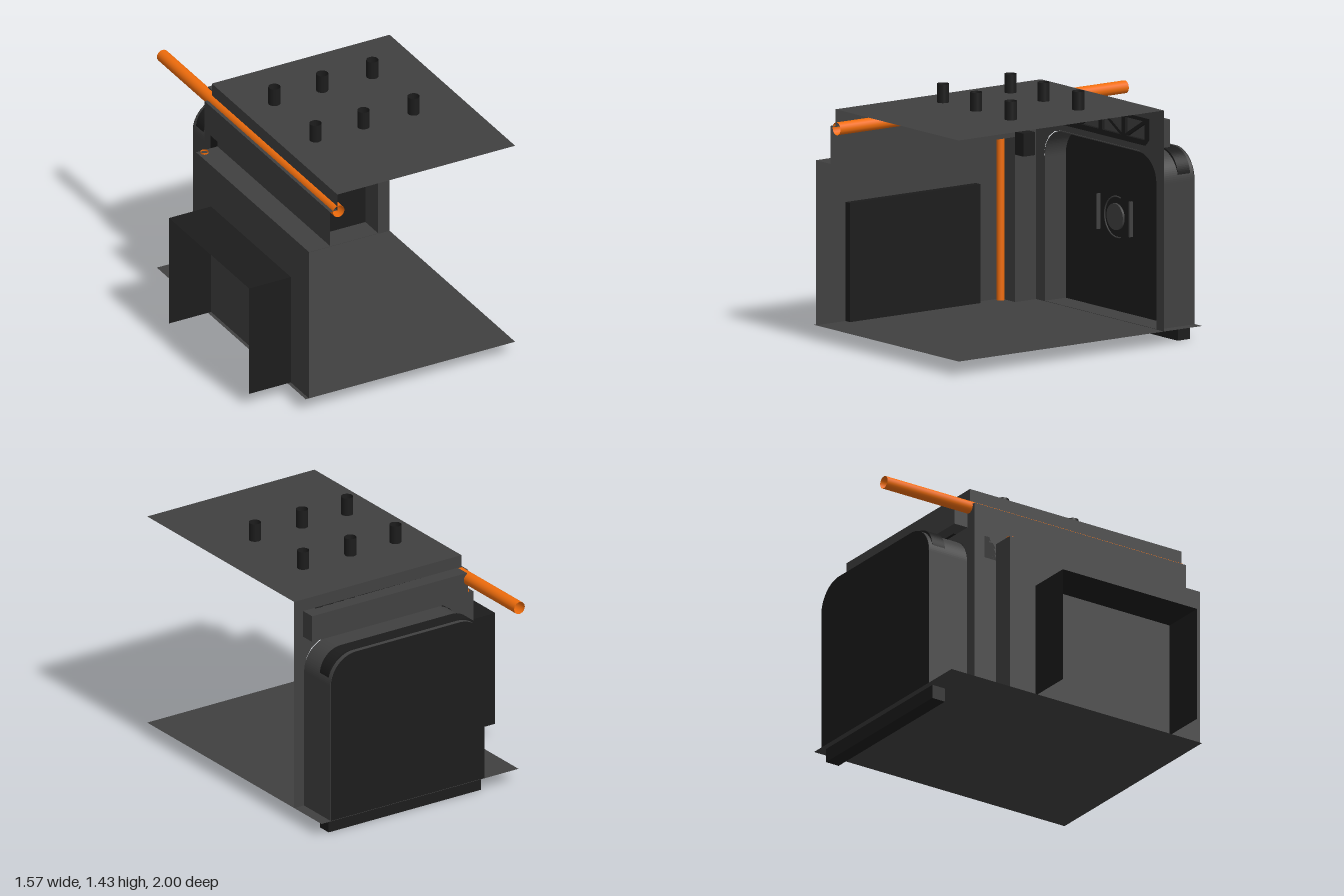
import * as THREE from 'three';

const material = (color) => new THREE.MeshStandardMaterial({ color, side: THREE.DoubleSide });

export function createModel() {
  const model = new THREE.Group();
  const grey = material(0x404040);
  const black = material(0x1c1c1c);
  const orange = material(0xef6c0c);
  const cream = material(0xb0aa88);

  function add(name, geometry, mat, x = 0, y = 0, z = 0) {
    const mesh = new THREE.Mesh(geometry, mat);
    mesh.name = name;
    mesh.position.set(x, y, z);
    model.add(mesh);
    return mesh;
  }

  // Flat axis-aligned panel between two opposite corners that share one coordinate
  function panel(name, mat, a, b) {
    const size = a.map((v, i) => Math.abs(b[i] - v));
    const mid = a.map((v, i) => (b[i] + v) / 2);
    let g;
    if (size[0] === 0) g = new THREE.PlaneGeometry(size[2], size[1]).rotateY(Math.PI / 2);
    else if (size[1] === 0) g = new THREE.PlaneGeometry(size[0], size[2]).rotateX(-Math.PI / 2);
    else g = new THREE.PlaneGeometry(size[0], size[1]);
    return add(name, g, mat, ...mid);
  }

  function box(name, mat, a, b) {
    const g = new THREE.BoxGeometry(...a.map((v, i) => Math.abs(b[i] - v)));
    return add(name, g, mat, ...a.map((v, i) => (b[i] + v) / 2));
  }

  // Doorway outline with rounded upper corners
  function trace(path, x0, x1, y0, y1, r) {
    path.moveTo(x0, y0);
    path.lineTo(x1, y0);
    path.lineTo(x1, y1 - r);
    path.absarc(x1 - r, y1 - r, r, 0, Math.PI / 2, false);
    path.lineTo(x0 + r, y1);
    path.absarc(x0 + r, y1 - r, r, Math.PI / 2, Math.PI, false);
    path.lineTo(x0, y0);
    return path;
  }
  const extrude = (shape, depth) =>
    new THREE.ExtrudeGeometry(shape, { depth, bevelEnabled: false, curveSegments: 12 });
  const polygon = (Type, pts) => new Type(pts.map(([x, y]) => new THREE.Vector2(x, y)));
  const rect = (x0, y0, x1, y1) => [[x0, y0], [x1, y0], [x1, y1], [x0, y1]];

  const FLOOR = 0.08, TOP = 1.325, BACK = -0.425, FRONT = 1;

  // Floor and ceiling
  panel('floor', grey, [-0.545, FLOOR, -0.69], [0.78, FLOOR, FRONT]);
  panel('ceiling', grey, [-0.345, TOP, BACK], [0.78, TOP, FRONT]);

  // Stepped side wall: x, y profile with the rear end of each strip
  const steps = [
    [-0.525, FLOOR, -0.28], [-0.525, 1.01, -0.28], [-0.39, 1.01, BACK],
    [-0.39, 1.225, BACK], [-0.345, 1.225, BACK], [-0.345, TOP, BACK],
  ];
  for (let i = 0; i < steps.length - 1; i++) {
    const [x0, y0, z] = steps[i], [x1, y1] = steps[i + 1];
    panel('sideWall', grey, [x0, y0, z], [x1, y1, FRONT]);
  }

  // Rear corner where the side wall steps in towards the doorway
  panel('cornerReturn', grey, [-0.525, FLOOR, -0.28], [-0.39, 1.01, -0.28]);
  panel('cornerSide', grey, [-0.39, FLOOR, -0.28], [-0.39, 1.01, BACK]);
  panel('cornerBack', grey, [-0.39, FLOOR, BACK], [-0.345, 1.225, BACK]);
  box('cornerBox', black, [-0.39, 0.91, -0.36], [-0.315, 1.04, -0.28]);

  // Back wall with doorway and vent openings
  const wall = polygon(THREE.Shape, [
    [-0.345, FLOOR], [-0.318, FLOOR], [-0.318, 0.9], [-0.305, 0.965], [-0.271, 1.018],
    [-0.22, 1.052], [-0.158, 1.065], [0.552, 1.065], [0.614, 1.052], [0.665, 1.018],
    [0.699, 0.965], [0.712, 0.9], [0.712, FLOOR], [0.78, FLOOR], [0.78, TOP], [-0.345, TOP],
  ]);
  const ventOutline = [[-0.21, 1.1], [0.61, 1.1], [0.645, 1.135], [0.645, 1.255], [-0.245, 1.255], [-0.245, 1.135]];
  wall.holes.push(polygon(THREE.Path, ventOutline));
  add('backWall', new THREE.ShapeGeometry(wall), grey, 0, 0, BACK);

  // Vent housing behind the opening
  panel('ventBack', grey, [-0.32, 1.1, -0.513], [0.72, 1.255, -0.513]);
  for (const y of [1.1, 1.255]) panel('ventHousing', grey, [-0.32, y, -0.513], [0.72, y, BACK]);
  for (const x of [-0.32, 0.72]) panel('ventEnd', grey, [x, 1.1, -0.513], [x, 1.255, BACK]);

  // Vent frame with four bays and alternating braces
  const frame = polygon(THREE.Shape, ventOutline);
  const bays = [[-0.205, -0.03], [0.005, 0.185], [0.215, 0.395], [0.425, 0.605]];
  bays.forEach(([x0, x1], i) => {
    frame.holes.push(polygon(THREE.Path, rect(x0, 1.13, x1, 1.235)));
    const w = x1 - x0, h = 0.105;
    const brace = add('ventBrace', new THREE.BoxGeometry(Math.hypot(w, h), 0.018, 0.016), black,
      (x0 + x1) / 2, 1.1825, -0.432);
    brace.rotation.z = (i % 2 ? 1 : -1) * Math.atan2(h, w);
  });
  add('ventFrame', extrude(frame, 0.02), black, 0, 0, -0.442);

  // Doorway tunnel, outer cover and sliding door slab
  const tunnel = trace(new THREE.Shape(), -0.32, 0.715, FLOOR, 1.062, 0.17);
  tunnel.holes.push(trace(new THREE.Path(), -0.314, 0.709, FLOOR + 0.002, 1.056, 0.165));
  add('doorTunnel', extrude(tunnel, 0.255), grey, 0, 0, -0.683);
  const cover = trace(new THREE.Shape(), -0.32, 0.715, FLOOR, 1.062, 0.17);
  add('doorCover', new THREE.ShapeGeometry(cover), black, 0, 0, -0.686);
  const slab = trace(new THREE.Shape(), -0.315, 0.71, 0, 1.066, 0.14);
  add('doorSlab', extrude(slab, 0.085), black, 0, 0, -0.658);

  // Door hub, hub ring and handle bars
  const doorZ = -0.568;
  add('doorHub', new THREE.CylinderGeometry(0.075, 0.075, 0.016, 32).rotateX(Math.PI / 2), grey, 0.15, 0.612, doorZ);
  const ring = add('hubRing', new THREE.TorusGeometry(0.115, 0.004, 6, 32, Math.PI * 1.16), grey, 0.163, 0.612, doorZ);
  ring.rotation.z = Math.PI * 0.42;
  for (const x of [-0.002, 0.295]) box('doorHandle', grey, [x - 0.004, 0.52, -0.575], [x + 0.004, 0.72, -0.55]);

  // Side alcove, open to the outside
  panel('alcovePanel', black, [-0.483, FLOOR, -0.11], [-0.483, 0.75, 0.795]);
  panel('alcoveTop', black, [-0.79, 0.75, -0.11], [-0.483, 0.75, 0.795]);
  for (const z of [-0.11, 0.795]) panel('alcoveEnd', black, [-0.79, FLOOR, z], [-0.483, 0.75, z]);

  // Open pipes
  add('longPipe', new THREE.CylinderGeometry(0.036, 0.036, 2, 20, 1, true).rotateX(Math.PI / 2), orange, -0.336, 1.216, 0);
  add('uprightPipe', new THREE.CylinderGeometry(0.022, 0.022, 0.94, 16, 1, true), orange, -0.488, 0.55, -0.252);

  // Ceiling lamps: open tubes with a light disc below the ceiling
  for (const x of [-0.15, 0.153, 0.47]) for (const z of [0.403, -0.065]) {
    add('lampTube', new THREE.CylinderGeometry(0.034, 0.034, 0.125, 16, 1, true), black, x, 1.3675, z);
    add('lampDisc', new THREE.CircleGeometry(0.033, 16).rotateX(Math.PI / 2), cream, x, 1.308, z);
  }

  return model;
}
